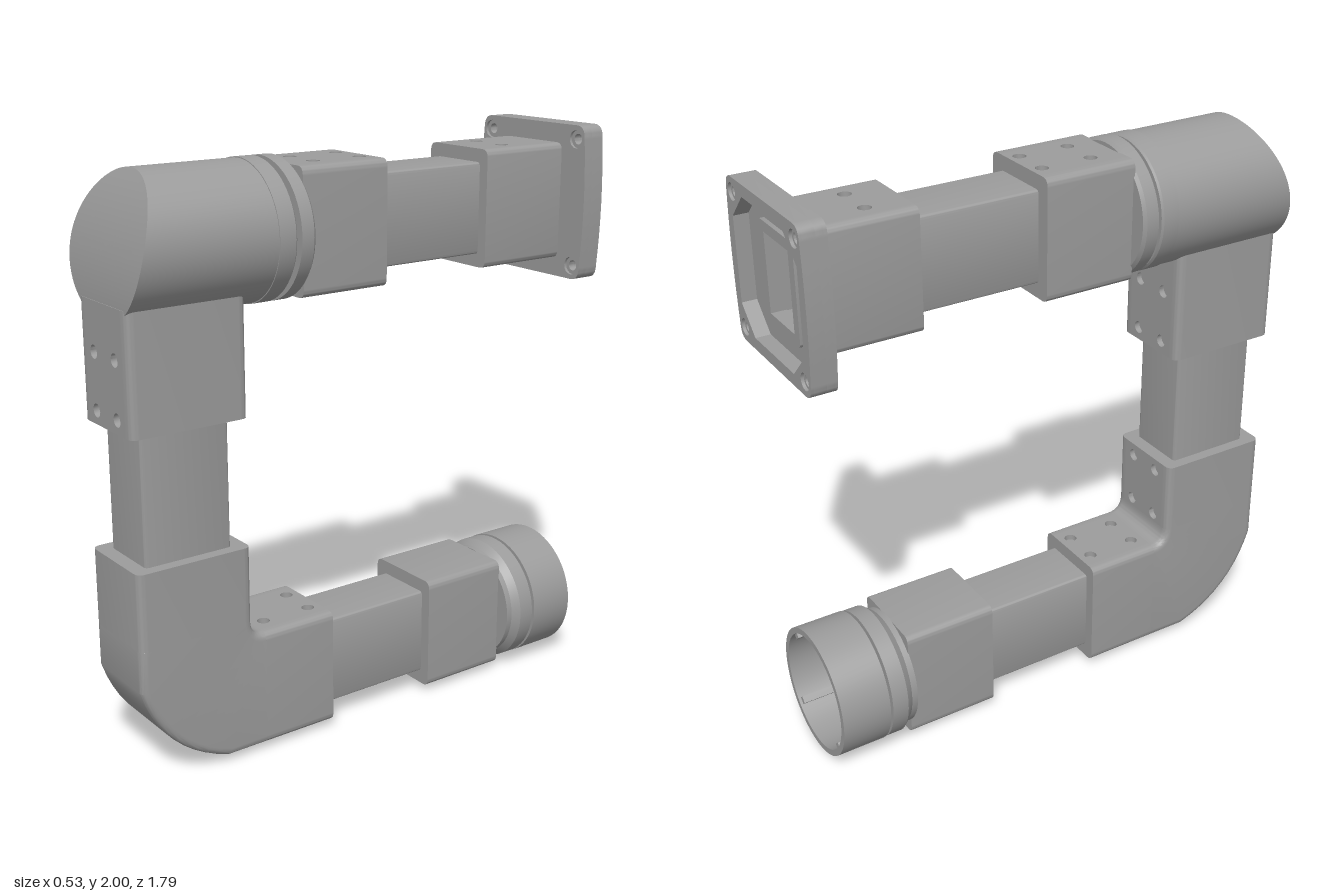
import * as THREE from 'three';
import { toCreasedNormals } from 'three/addons/utils/BufferGeometryUtils.js';

const grey = new THREE.MeshStandardMaterial({ color: 0x9c9c9c });
grey.name = 'machine grey';

const NOTCH_W = 0.11, NOTCH_D = 0.02; // half width and depth of the drilled face plates

function mesh(name, geometry, crease = 0.5) {
  const m = new THREE.Mesh(toCreasedNormals(geometry, crease), grey);
  m.name = name;
  return m;
}

function circleHole(x, y, r) {
  return new THREE.Path().absarc(x, y, r, 0, Math.PI * 2, true);
}

function rectHole(w, h) {
  return new THREE.Path([[-w, -h], [-w, h], [w, h], [w, -h]].map(([x, y]) => new THREE.Vector2(x / 2, y / 2)));
}

// Rounded rectangle, with a channel on the top and/or bottom for a drilled plate
function section(w, h, r, top, bottom, hole) {
  const x = w / 2, y = h / 2, s = new THREE.Shape();
  const channel = (side) => {
    s.lineTo(side * NOTCH_W, side * y);
    s.lineTo(side * NOTCH_W, side * (y - NOTCH_D));
    s.lineTo(-side * NOTCH_W, side * (y - NOTCH_D));
    s.lineTo(-side * NOTCH_W, side * y);
  };
  s.moveTo(-x + r, -y);
  if (bottom) channel(-1);
  s.lineTo(x - r, -y);
  s.quadraticCurveTo(x, -y, x, -y + r);
  s.lineTo(x, y - r);
  s.quadraticCurveTo(x, y, x - r, y);
  if (top) channel(1);
  s.lineTo(-x + r, y);
  s.quadraticCurveTo(-x, y, -x, y - r);
  s.lineTo(-x, -y + r);
  s.quadraticCurveTo(-x, -y, -x + r, -y);
  if (hole) s.holes.push(rectHole(...hole));
  return s;
}

function extrude(shape, depth) {
  return new THREE.ExtrudeGeometry(shape, { depth, bevelEnabled: false, curveSegments: 8 });
}

// Clamp sleeve along local z, with pairs of bolt holes in its top and/or bottom face
function sleeve(name, w, h, length, rows, { top = true, bottom = true, hole = null } = {}) {
  const g = new THREE.Group();
  g.name = name;
  g.add(mesh(name + 'Body', extrude(section(w, h, 0.028, top, bottom, hole), length)));
  const plate = new THREE.Shape([[-1, 0], [1, 0], [1, length], [-1, length]].map(([x, y]) => new THREE.Vector2(x * NOTCH_W, y)));
  for (const v of rows) for (const x of [-0.065, 0.065]) plate.holes.push(circleHole(x, v, 0.022));
  const levels = [];
  if (top) levels.push(h / 2);
  if (bottom) levels.push(-h / 2 + NOTCH_D);
  for (const y of levels) {
    const p = mesh(name + 'DrilledFace', extrude(plate, NOTCH_D).rotateX(Math.PI / 2));
    p.position.y = y;
    g.add(p);
  }
  return g;
}

function tube(name, length) {
  return mesh(name, extrude(section(0.22, 0.31, 0.015, false, false, [0.19, 0.28]), length));
}

// Turned part about the z axis; profile is [radius, z] from low z to high z
function turned(name, profile, y) {
  const g = new THREE.LatheGeometry(profile.map(([r, z]) => new THREE.Vector2(r, z)), 64);
  const m = mesh(name, g.rotateX(Math.PI / 2));
  m.position.y = y;
  return m;
}

// Curved elbow: rounded section carried between an inner and an outer path
function elbowBend() {
  const V = (z, y) => new THREE.Vector2(z, y);
  const inner = new THREE.QuadraticBezierCurve(V(0.49, 0.49), V(0.49, 0.435), V(0.44, 0.435)).getPoints(12);
  const arc = new THREE.QuadraticBezierCurve(V(0.9, 0.345), V(0.825, 0.105), V(0.59, 0.03)).getPoints(10);
  const outer = [V(0.9, 0.49), ...arc, V(0.44, 0.03)];
  const ring = section(0.3, 0.405, 0.028, false, false).getPoints(6).slice(0, -1);
  const pos = [], idx = [], n = ring.length;
  outer.forEach((o, i) => {
    const a = inner[i], len = o.distanceTo(a);
    for (const p of ring) {
      // keep the corner radius constant while the section depth changes
      const d = p.y > 0 ? 0.2025 - p.y : len - (p.y + 0.2025);
      const q = a.clone().lerp(o, d / len);
      pos.push(p.x, q.y, q.x);
    }
    if (i) for (let k = 0; k < n; k++) {
      const b = (i - 1) * n + k, c = (i - 1) * n + (k + 1) % n;
      idx.push(b, b + n, c, c, b + n, c + n);
    }
  });
  const g = new THREE.BufferGeometry();
  g.setAttribute('position', new THREE.Float32BufferAttribute(pos, 3));
  g.setIndex(idx);
  // orient the faces outward
  g.computeVertexNormals();
  const nx = g.attributes.normal, k = ring.findIndex((p) => p.x > 0.149);
  if (nx.getX(k) < 0) g.setIndex(idx.map((_, i) => idx[i - (i % 3) + 2 - (i % 3)]));
  return mesh('elbowBend', g, 0.4);
}

// Bolted square flange with bowed sides and a sunken back
function flange() {
  const g = new THREE.Group();
  g.name = 'mountingFlange';
  const layers = [[-0.895, 0.01, 0.028, true], [-0.885, 0.04, 0.018, true], [-0.845, 0.025, 0.018, false], [-0.82, 0.01, 0.031, false]];
  for (const [z, depth, bolt, open] of layers) {
    const s = new THREE.Shape();
    s.moveTo(-0.215, -0.265);
    s.lineTo(0.215, -0.265);
    s.quadraticCurveTo(0.255, -0.265, 0.255, -0.22);
    s.quadraticCurveTo(0.275, 0, 0.255, 0.22);
    s.quadraticCurveTo(0.255, 0.265, 0.215, 0.265);
    s.lineTo(-0.215, 0.265);
    s.quadraticCurveTo(-0.255, 0.265, -0.255, 0.22);
    s.quadraticCurveTo(-0.275, 0, -0.255, -0.22);
    s.quadraticCurveTo(-0.255, -0.265, -0.215, -0.265);
    for (const x of [-0.215, 0.215]) for (const y of [-0.218, 0.218]) s.holes.push(circleHole(x, y, bolt));
    const a = 0.225, b = 0.14;
    s.holes.push(open
      ? new THREE.Path([[a, b], [a, -b], [b, -a], [-b, -a], [-a, -b], [-a, b], [-b, a], [b, a]].map(([x, y]) => new THREE.Vector2(x, y)))
      : rectHole(0.17, 0.26));
    const m = mesh(open ? 'flangeRim' : 'flangePlate', extrude(s, depth));
    m.position.z = z;
    g.add(m);
  }
  // raised lip round the cable opening
  const lip = section(0.24, 0.33, 0.02, false, false, [0.17, 0.26]);
  const m = mesh('flangeLip', extrude(lip, 0.015));
  m.position.z = -0.86;
  g.add(m);
  return g;
}

// Round swivel housing with a curved, slanted front
function swivelHousing(y0) {
  const profile = [[0, 0.41], [0.225, 0.41], [0.225, 0.9]];
  for (let i = 11; i >= 0; i--) profile.push([0.225 * i / 12, 0.9]);
  const g = new THREE.LatheGeometry(profile.map(([r, z]) => new THREE.Vector2(r, z)), 96).rotateX(Math.PI / 2);
  const p = g.attributes.position;
  for (let i = 0; i < p.count; i++) {
    if (p.getZ(i) < 0.8) continue;
    const d = Math.max(p.getY(i) + y0 - 1.56, 0);
    p.setZ(i, 0.148 + Math.sqrt(0.5625 - d * d));
  }
  const m = mesh('swivelHousing', g);
  m.position.y = y0;
  return m;
}

export function createModel() {
  const model = new THREE.Group();
  model.name = 'supportArm';
  const TOP = 1.735, LOW = 0.2325, COL = 0.695;
  const place = (o, y, z, upright = false) => {
    o.position.set(0, y, z);
    if (upright) o.rotation.x = -Math.PI / 2;
    model.add(o);
  };

  // Upper arm
  model.add(swivelHousing(TOP));
  model.add(turned('swivelRing', [[0, 0.35], [0.222, 0.35], [0.228, 0.356], [0.228, 0.415], [0, 0.415]], TOP));
  model.add(turned('swivelCore', [[0, 0.32], [0.075, 0.32], [0.075, 0.37], [0, 0.37]], TOP));
  model.add(turned('swivelCollar', [[0, 0.28], [0.218, 0.28], [0.228, 0.29], [0.228, 0.335], [0, 0.335]], TOP));
  place(sleeve('upperSleeve', 0.32, 0.41, 0.325, [0.04, 0.22]), TOP, -0.04);
  place(tube('upperTube', 0.44), TOP, -0.475);
  place(sleeve('flangeSleeve', 0.295, 0.4, 0.34, [0.205], { hole: [0.18, 0.27] }), TOP, -0.81);
  place(flange(), TOP, 0);

  // Column
  place(sleeve('columnSleeve', 0.3, 0.41, 0.39, [0.045, 0.23]), 1.18, COL, true);
  place(tube('columnTube', 0.44), 0.745, COL, true);

  // Elbow
  place(sleeve('elbowUpper', 0.3, 0.41, 0.26, [0.03, 0.215], { bottom: false }), 0.49, COL, true);
  model.add(elbowBend());
  place(sleeve('elbowLower', 0.3, 0.405, 0.27, [0.045, 0.225], { bottom: false }), LOW, 0.17);

  // Lower arm
  place(tube('lowerTube', 0.44), LOW, -0.26);
  place(sleeve('endSleeve', 0.3, 0.405, 0.33, [0.1, 0.28], { top: false }), LOW, -0.58);
  model.add(turned('endCollar', [[0, -0.682], [0.226, -0.682], [0.226, -0.625], [0.205, -0.6], [0.205, -0.578], [0, -0.578]], LOW));
  model.add(turned('endCore', [[0, -0.71], [0.115, -0.71], [0.115, -0.67], [0, -0.67]], LOW));
  model.add(turned('endDrum', [[0, -0.705], [0.09, -0.705], [0.09, -0.745], [0.14, -0.745], [0.14, -0.72],
    [0.206, -0.72], [0.206, -0.865], [0.228, -0.865], [0.228, -0.692], [0, -0.692]], LOW));

  // Ribs inside the drum
  for (let i = 0; i < 4; i++) {
    const a = Math.PI / 4 + i * Math.PI / 2;
    const rib = mesh('drumRib', new THREE.BoxGeometry(0.02, 0.025, 0.14));
    rib.position.set(0.198 * Math.cos(a), LOW + 0.198 * Math.sin(a), -0.785);
    rib.rotation.z = a;
    model.add(rib);
  }
  return model;
}
